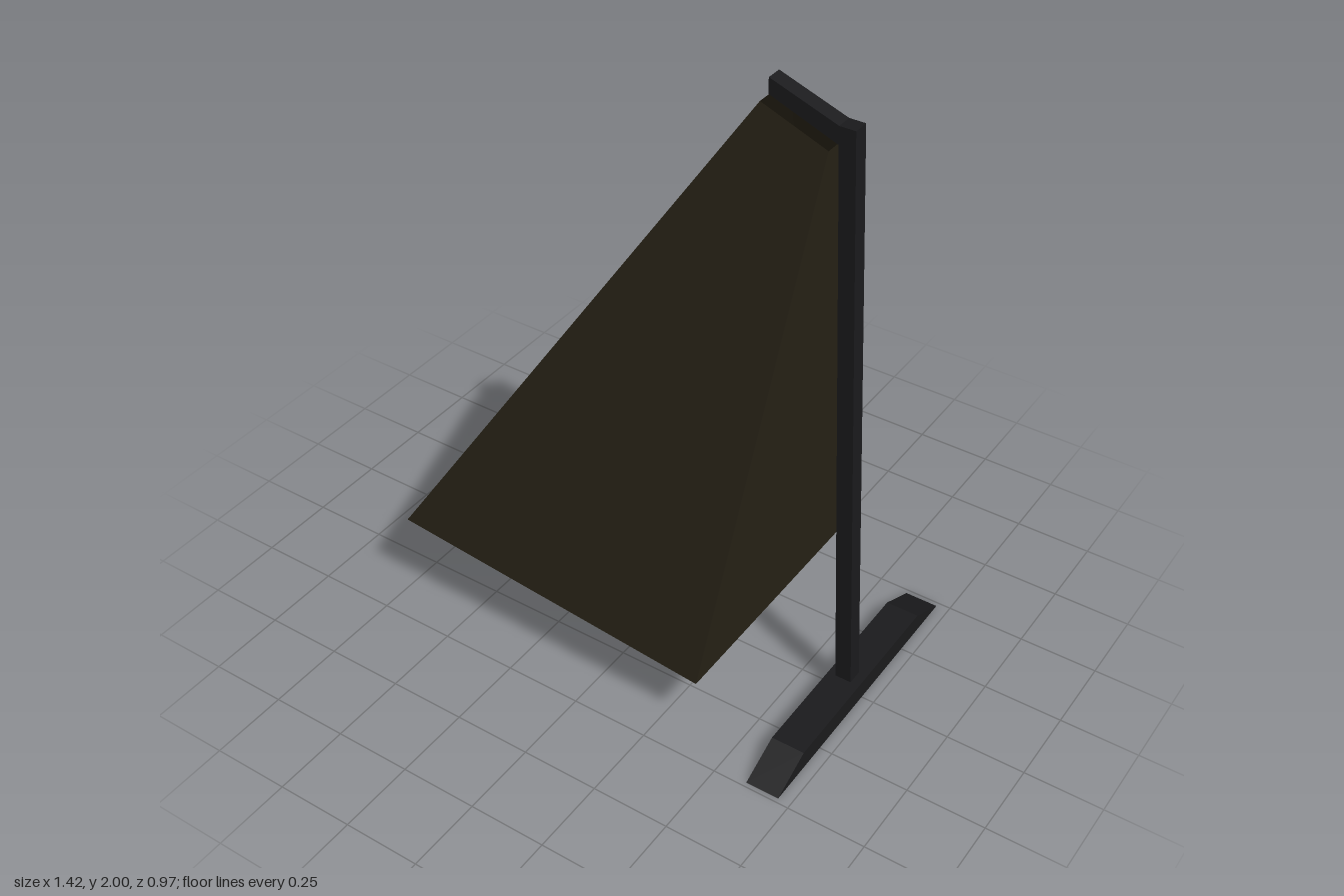
import * as THREE from 'three';

const metal = new THREE.MeshStandardMaterial({ color: 0x1a1a1c, flatShading: true });
const fabric = new THREE.MeshStandardMaterial({ color: 0x272216, flatShading: true, side: THREE.DoubleSide });

// Outline extruded along z, centred on z
function prism(points, depth) {
  const shape = new THREE.Shape(points.map(([x, y]) => new THREE.Vector2(x, y)));
  const geo = new THREE.ExtrudeGeometry(shape, { depth, bevelEnabled: false });
  return geo.translate(0, 0, -depth / 2);
}

// Open tube of four walls between a bottom and a top ring
function shadeGeometry(bottom, top) {
  const pos = [];
  for (let i = 0; i < 4; i++) {
    const j = (i + 1) % 4;
    pos.push(...bottom[i], ...bottom[j], ...top[j], ...bottom[i], ...top[j], ...top[i]);
  }
  const geo = new THREE.BufferGeometry();
  geo.setAttribute('position', new THREE.Float32BufferAttribute(pos, 3));
  geo.computeVertexNormals();
  return geo;
}

// Four corners from a left and a right edge, with half width about the shade's centre line
function ring([xa, ya], [xb, yb], half) {
  const c = -0.007;
  return [[xa, ya, c + half], [xb, yb, c + half], [xb, yb, c - half], [xa, ya, c - half]];
}

export function createModel() {
  const group = new THREE.Group();
  const add = (name, geo, mat) => {
    const mesh = new THREE.Mesh(geo, mat);
    mesh.name = name;
    group.add(mesh);
    return mesh;
  };

  // Tapered shade, open at both ends
  add('shade', shadeGeometry(
    ring([-0.71, 0.315], [0.373, 0.205], 0.414),
    ring([0.322, 1.95], [0.527, 1.87], 0.07)
  ), fabric);

  // Foot with sloping ends, running along z
  const foot = prism([[-0.485, 0], [0.485, 0], [0.347, 0.065], [-0.347, 0.065]], 0.108);
  add('foot', foot.rotateY(-Math.PI / 2).translate(0.655, 0, 0), metal);

  // Leaning pole
  add('pole', prism([[0.627, 0.06], [0.68, 0.06], [0.58, 1.925], [0.53, 1.925]], 0.05), metal)
    .position.z = -0.002;

  // Sloping arm over the shade's top opening
  add('arm', prism([[0.322, 1.953], [0.535, 1.87], [0.545, 1.92], [0.322, 2]], 0.05), metal)
    .position.z = -0.002;

  return group;
}
